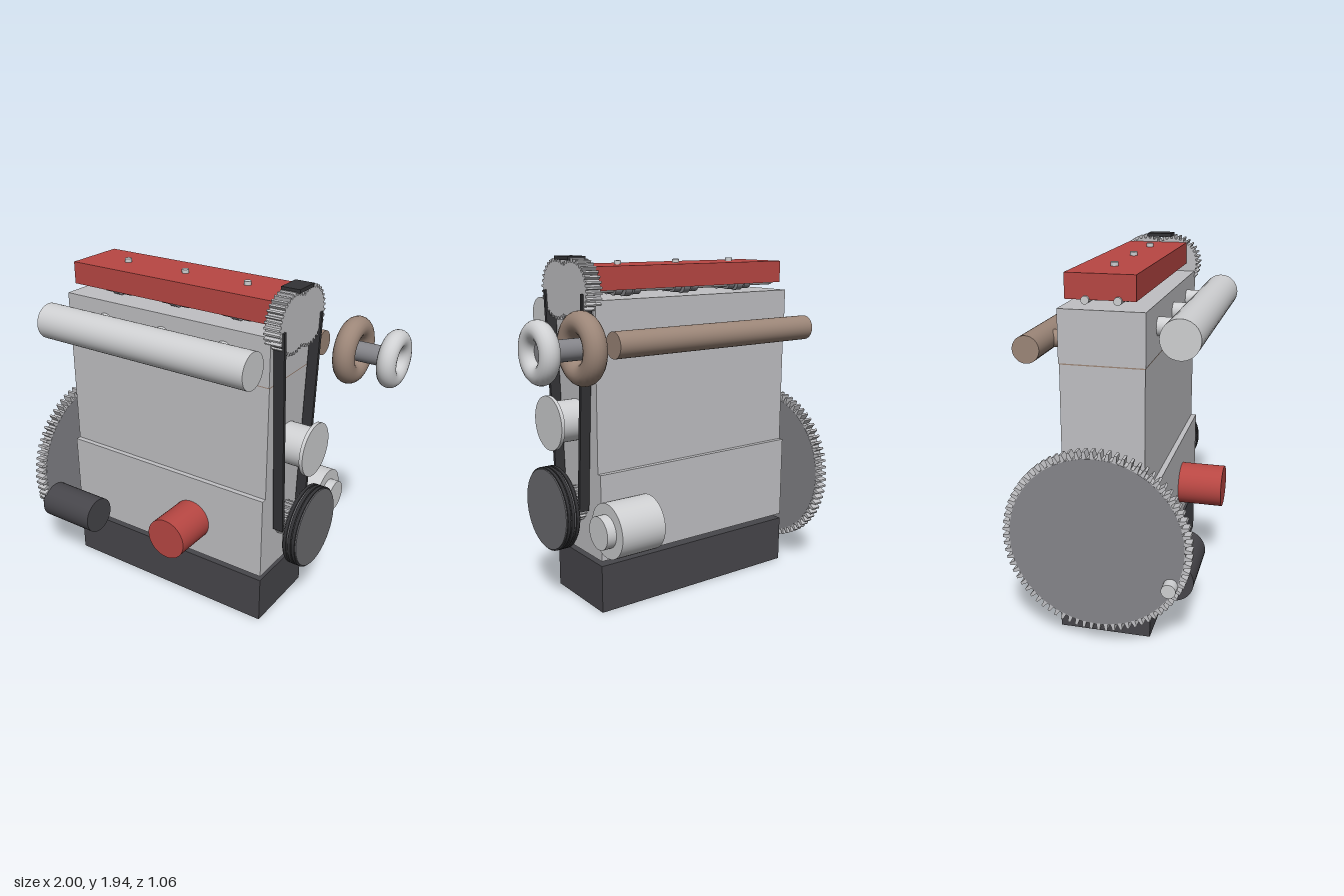
import * as THREE from 'three';

export function createModel() {
  const root = new THREE.Group();
  root.name = 'engine';

  const paint = (name, color) => {
    const m = new THREE.MeshStandardMaterial({ color });
    m.name = name;
    return m;
  };
  const iron = paint('cast iron grey', 0xc0c0c3);
  const silver = paint('silver', 0xcfd0d2);
  const steel = paint('steel grey', 0x85858a);
  const pulleyGrey = paint('pulley grey', 0x6c6c70);
  const dark = paint('charcoal', 0x47464b);
  const rubber = paint('rubber black', 0x333336);
  const red = paint('red', 0xb84743);
  const bronze = paint('exhaust brown', 0x9c8678);

  const MID = 0.035; // z of the crank centre line
  const CRANK_Y = 0.58;
  const STATIONS = [-0.53, -0.135, 0.26]; // the three cylinders

  const add = (name, geometry, material, x = 0, y = 0, z = 0) => {
    const mesh = new THREE.Mesh(geometry, material);
    mesh.name = name;
    mesh.position.set(x, y, z);
    root.add(mesh);
    return mesh;
  };
  // Box given by its limits on each axis
  const box = (name, mat, [x0, x1], [y0, y1], [z0, z1]) =>
    add(name, new THREE.BoxGeometry(x1 - x0, y1 - y0, z1 - z0), mat,
      (x0 + x1) / 2, (y0 + y1) / 2, (z0 + z1) / 2);
  // Cylinder lying along x
  const rodX = (name, mat, r, x0, x1, y, z) =>
    add(name, new THREE.CylinderGeometry(r, r, x1 - x0, 40).rotateZ(-Math.PI / 2), mat,
      (x0 + x1) / 2, y, z);
  // Cylinder lying along z
  const rodZ = (name, mat, r, z0, z1, x, y) =>
    add(name, new THREE.CylinderGeometry(r, r, z1 - z0, 40).rotateX(Math.PI / 2), mat,
      x, y, (z0 + z1) / 2);
  const torusX = (name, mat, R, r, x, y, z) =>
    add(name, new THREE.TorusGeometry(R, r, 20, 48).rotateY(Math.PI / 2), mat, x, y, z);
  // Toothed wheel facing x, with an optional centre hole
  const gearX = (name, mat, teeth, rRoot, rTip, x0, x1, y, z, hole = 0) => {
    const shape = new THREE.Shape();
    const step = (Math.PI * 2) / teeth;
    for (let i = 0; i < teeth; i++) {
      [[0, rRoot], [0.4, rRoot], [0.54, rTip], [0.86, rTip]].forEach(([t, r], k) => {
        const a = (i + t) * step;
        const method = i + k === 0 ? 'moveTo' : 'lineTo';
        shape[method](Math.cos(a) * r, Math.sin(a) * r);
      });
    }
    shape.closePath();
    if (hole) shape.holes.push(new THREE.Path().absarc(0, 0, hole, 0, Math.PI * 2, true));
    const g = new THREE.ExtrudeGeometry(shape, { depth: x1 - x0, bevelEnabled: false, curveSegments: 48 });
    return add(name, g.rotateY(Math.PI / 2), mat, x0, y, z);
  };

  // Block, head and sump
  const LONG = [-0.8, 0.535];
  box('oilPan', dark, LONG, [0, 0.275], [-0.207, 0.277]);
  box('oilPump', iron, [0.29, 0.47], [0.2, 0.31], [-0.07, 0.14]);
  box('crankcase', iron, LONG, [0.305, 0.795], [-0.207, 0.277]);
  box('cylinderBlock', iron, LONG, [0.795, 1.447], [-0.18, 0.247]);
  box('headGasket', bronze, LONG, [1.447, 1.453], [-0.181, 0.248]);
  box('cylinderHead', iron, LONG, [1.453, 1.72], [-0.185, 0.25]);

  // Valve cover with bolts
  box('valveCover', red, [-0.785, 0.505], [1.765, 1.89], [-0.15, 0.2]);
  STATIONS.forEach((x) =>
    add('coverBolt', new THREE.CylinderGeometry(0.02, 0.02, 0.06, 16), silver, x, 1.88, 0.028));

  // Twin camshafts, their lobes and toothed wheels
  [-0.046, 0.114].forEach((z) => {
    rodX('camshaft', silver, 0.02, -0.8, 0.55, 1.765, z);
    STATIONS.forEach((x) => [-0.06, 0, 0.06].forEach((dx) =>
      rodX('camLobe', steel, dx ? 0.035 : 0.042, x + dx - 0.022, x + dx + 0.022, 1.765, z)));
    gearX('camSprocket', iron, 34, 0.145, 0.163, 0.505, 0.595, 1.765, z);
  });

  // Timing belt: two slanting runs and a short top run
  const beltLow = 0.57, beltHigh = 1.755;
  [-1, 1].forEach((s) => {
    const dz = 0.075, dy = beltHigh - beltLow;
    const run = add('beltRun', new THREE.BoxGeometry(0.06, Math.hypot(dy, dz), 0.02), rubber,
      0.575, (beltLow + beltHigh) / 2, MID + s * 0.16);
    run.rotation.x = s * Math.atan2(dz, dy);
  });
  box('beltTop', rubber, [0.5, 0.607], [1.92, 1.94], [-0.04, 0.105]);

  // Crankshaft, its sprocket and the belt pulley
  rodX('crankshaft', silver, 0.077, -0.9, -0.78, CRANK_Y, MID);
  rodX('crankNose', silver, 0.05, 0.5, 0.67, CRANK_Y, MID);
  gearX('crankSprocket', iron, 22, 0.085, 0.1, 0.535, 0.6, CRANK_Y, MID);
  rodX('pulleyRim', pulleyGrey, 0.225, 0.655, 0.74, CRANK_Y, MID);
  [0.672, 0.7, 0.724].forEach((x) =>
    rodX('pulleyRib', rubber, 0.233, x - 0.009, x + 0.009, CRANK_Y, MID));

  // Flywheel with ring gear
  rodX('flywheel', steel, 0.45, -0.941, -0.884, CRANK_Y, MID - 0.007);
  gearX('ringGear', iron, 76, 0.453, 0.486, -0.94, -0.885, CRANK_Y, MID - 0.007, 0.445);

  // Starter motor
  rodX('starterMotor', dark, 0.107, -0.895, -0.535, 0.4, 0.41);
  rodX('starterShaft', silver, 0.037, -1, -0.89, 0.4, 0.41);

  // Oil filter
  rodZ('oilFilter', red, 0.12, 0.25, 0.528, 0.065, 0.52);

  // Water pump
  rodX('waterPump', silver, 0.115, 0.53, 0.69, 1.06, MID);
  rodX('waterPumpPulley', silver, 0.15, 0.69, 0.71, 1.06, MID);

  // Alternator
  rodX('alternator', silver, 0.15, 0.34, 0.607, 0.55, -0.38);
  rodX('alternatorPulley', silver, 0.09, 0.6, 0.66, 0.55, -0.38);

  // Intake and exhaust manifolds with their runners
  rodX('intakeManifold', silver, 0.1, ...LONG, 1.6, 0.412);
  rodX('exhaustManifold', bronze, 0.07, ...LONG, 1.51, -0.35);
  STATIONS.forEach((x) => {
    rodZ('intakeRunner', silver, 0.048, 0.23, 0.4, x, 1.6);
    rodZ('exhaustRunner', bronze, 0.046, -0.335, -0.17, x, 1.51);
  });

  // Turbocharger
  torusX('turbineHousing', bronze, 0.127, 0.06, 0.715, 1.508, -0.347);
  torusX('compressorHousing', silver, 0.106, 0.052, 0.948, 1.508, -0.347);
  rodX('turboShaft', steel, 0.055, 0.715, 0.945, 1.508, -0.347);

  return root;
}
